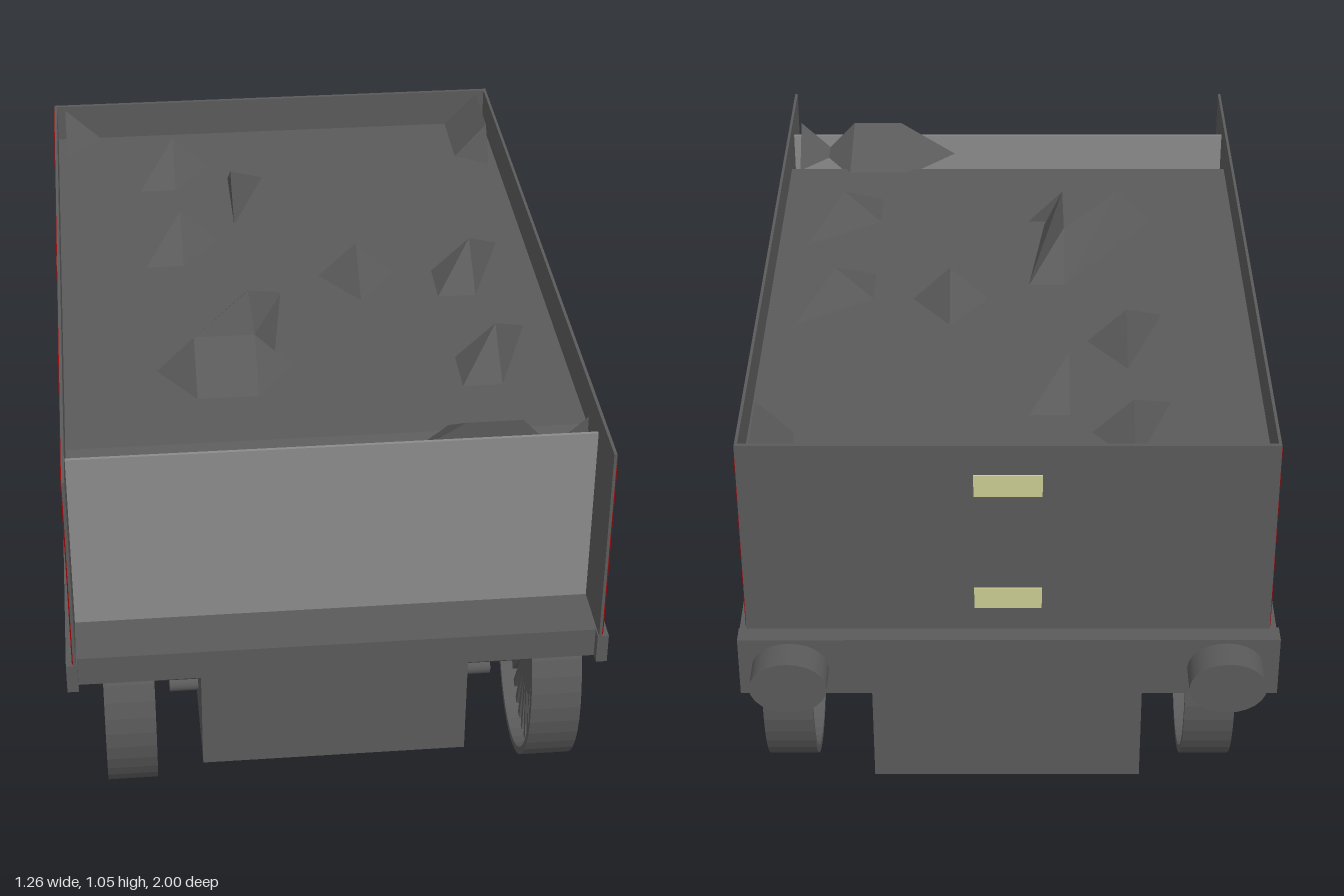
import * as THREE from 'three';
import { mergeGeometries } from 'three/addons/utils/BufferGeometryUtils.js';
import { ConvexGeometry } from 'three/addons/geometries/ConvexGeometry.js';

const mat = (name, color) => {
  const m = new THREE.MeshStandardMaterial({ color });
  m.name = name;
  return m;
};

export function createModel() {
  const model = new THREE.Group();
  model.name = 'coalTender';
  const grey = mat('darkGrey', 0x5a5a5a);
  const light = mat('lightGrey', 0x8b8b8b);
  const red = mat('redLining', 0x990404);
  const yellow = mat('paleYellow', 0xcacd92);

  const add = (name, geo, material) => {
    const m = new THREE.Mesh(geo, material);
    m.name = name;
    model.add(m);
    return m;
  };
  // Box given by its min and max on each axis
  const box = (name, x0, x1, y0, y1, z0, z1, material = grey) => {
    const m = add(name, new THREE.BoxGeometry(x1 - x0, y1 - y0, z1 - z0), material);
    m.position.set((x0 + x1) / 2, (y0 + y1) / 2, (z0 + z1) / 2);
  };
  // Cylinder lying along x
  const rod = (name, x0, x1, y, z, r) => {
    const m = add(name, new THREE.CylinderGeometry(r, r, x1 - x0, 20).rotateZ(Math.PI / 2), grey);
    m.position.set((x0 + x1) / 2, y, z);
  };

  // Frame
  box('underframe', -0.315, 0.32, 0.135, 0.475, -0.91, 0.885);
  box('deck', -0.61, 0.61, 0.47, 0.545, -0.88, 0.975);
  box('bufferBeam', -0.632, 0.628, 0.39, 0.545, -0.92, -0.872);

  // Buffers, wider than tall
  for (const x of [-0.508, 0.508]) {
    const b = add('buffer', new THREE.CylinderGeometry(1, 1, 0.09, 24).rotateX(Math.PI / 2), grey);
    b.scale.set(0.09, 0.07, 1);
    b.position.set(x, 0.465, -0.955);
  }

  // Walls: the front one is set back from the ends of the sides
  box('frontWall', -0.604, 0.604, 0.54, 1.0, 0.83, 0.838, light);
  box('backWall', -0.61, 0.61, 0.54, 1.05, -0.875, -0.865);
  for (const s of [-1, 1]) {
    const slab = (name, xa, xb, ...rest) => box(name, Math.min(s * xa, s * xb), Math.max(s * xa, s * xb), ...rest);
    slab('sideSill', 0.6, 0.626, 0.47, 0.545, -0.88, 1.0);
    slab('sidePanel', 0.603, 0.61, 0.54, 1.05, -0.87, 1.0);
    // Thin red frame on the panel
    const line = (...yz) => slab('redLine', 0.6095, 0.612, ...yz, red);
    line(0.55, 0.57, -0.87, 1.0);
    line(1.02, 1.04, -0.87, 1.0);
    line(0.57, 1.02, 0.96, 1.0);
    line(0.57, 1.02, -0.87, -0.84);
  }

  // Pale plates on the back wall
  for (const y of [0.635, 0.945]) box('backPlate', -0.078, 0.078, y - 0.028, y + 0.028, -0.879, -0.873, yellow);

  // Coal bed, dropping towards the front wall
  const profile = new THREE.Shape([[-0.868, 0.54], [0.83, 0.54], [0.83, 0.88], [0.72, 0.95], [-0.868, 0.95]]
    .map(([z, y]) => new THREE.Vector2(-z, y)));
  add('coalBed', new THREE.ExtrudeGeometry(profile, { depth: 1.206, bevelEnabled: false })
    .rotateY(Math.PI / 2).translate(-0.603, 0, 0), grey);

  // Coal lumps: hull of a base outline and one or more peaks, as x, z pairs
  const lump = (peaks, outline) => {
    const at = (y) => ([x, z]) => new THREE.Vector3(x, y, z);
    add('coalLump', new ConvexGeometry([...peaks.map(at(1.04)), ...outline.map(at(0.945))]), grey);
  };
  // Single-peaked lumps, outline relative to the peak
  const kite = [[0, -0.14], [-0.1, 0.14], [0, 0.14], [0.1, 0]];
  const wedge = [[0, -0.14], [0.1, -0.14], [0, 0.14]];
  const diamond = [[0, -0.14], [-0.1, 0], [0, 0.14], [0.1, 0]];
  const skew = [[0.1, -0.14], [-0.1, 0], [-0.1, 0.14], [0, 0.14]];
  for (const [x, z, shape] of [[-0.29, -0.66, kite], [-0.145, -0.45, wedge], [-0.29, -0.24, kite],
    [0.145, -0.025, diamond], [0.435, -0.025, skew], [0.435, 0.4, skew]]) {
    lump([[x, z]], shape.map(([dx, dz]) => [x + dx, z + dz]));
  }
  // Large lump in two overlapping pieces
  lump([[-0.29, 0.4], [-0.145, 0.4]], [[-0.385, 0.4], [-0.29, 0.54], [-0.145, 0.54], [-0.05, 0.4]]);
  lump([[-0.145, 0.19], [-0.145, 0.4], [-0.29, 0.4]],
    [[-0.145, 0.04], [-0.05, 0.04], [-0.095, 0.2], [-0.095, 0.38], [-0.385, 0.4]]);
  // Lumps against the walls
  lump([[-0.58, -0.862]], [[-0.48, -0.862], [-0.58, -0.74], [-0.58, -0.862]]);
  lump([[0.58, -0.862], [0.58, -0.67]], [[0.49, -0.862], [0.49, -0.66], [0.58, -0.6], [0.58, -0.862]]);
  lump([[0.3, 0.828], [0.43, 0.828]], [[0.15, 0.828], [0.28, 0.69], [0.44, 0.69], [0.52, 0.828]]);
  lump([[0.58, 0.828]], [[0.48, 0.828], [0.58, 0.72], [0.58, 0.828]]);

  // Wheel: open rim and many thin spokes, axis along x, taller than long
  const ring = new THREE.Shape().absarc(0, 0, 0.24, 0, Math.PI * 2, false);
  ring.holes.push(new THREE.Path().absarc(0, 0, 0.224, 0, Math.PI * 2, true));
  const rim = new THREE.ExtrudeGeometry(ring, { depth: 0.12, bevelEnabled: false, curveSegments: 20 });
  rim.translate(0, 0, -0.06);
  const parts = [rim];
  const spokes = 32;
  for (let i = 0; i < spokes; i++) {
    const spoke = new THREE.BoxGeometry(0.018, 0.215, 0.06).translate(0, 0.121, 0);
    parts.push(spoke.rotateZ((i / spokes) * Math.PI * 2).toNonIndexed());
  }
  const wheel = mergeGeometries(parts).rotateY(Math.PI / 2).scale(1, 1.155, 1);

  // Wheelsets
  for (const z of [0.69, 0.05, -0.59]) {
    for (const x of [-0.485, 0.53]) add('wheel', wheel, grey).position.set(x, 0.277, z);
    rod('axle', -0.56, 0.6, 0.278, z, 0.032);
    rod('innerRod', -0.385, 0.408, 0.23, z, 0.022);
  }
  return model;
}
